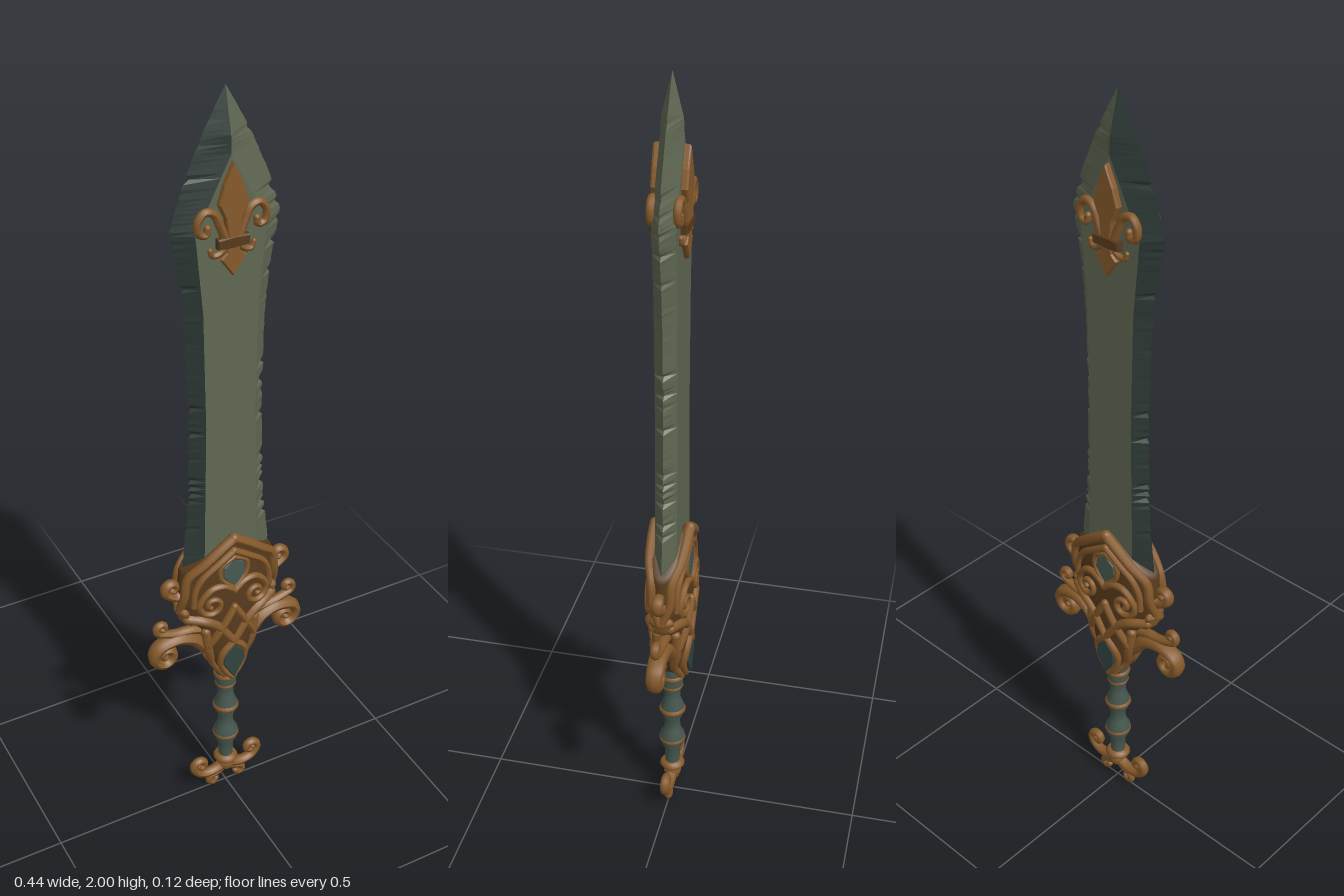
import * as THREE from 'three';

const mat = (name, color, extra = {}) => Object.assign(new THREE.MeshStandardMaterial({ color, ...extra }), { name });
const steel = mat('weathered steel', 0x5f6752);
const darkSteel = mat('tarnished steel', 0x2d3934);
const bronze = mat('aged bronze', 0x85592a);
const darkBronze = mat('recessed bronze', 0x573a1d);
const teal = mat('grip teal', 0x475850);
const gem = mat('dark inlay', 0x30433f);

const V = (x, y, z = 0) => new THREE.Vector3(x, y, z);

// Linear lookup in a table of [key, value, ...] rows
function lookup(rows, y, col = 1) {
  if (y <= rows[0][0]) return rows[0][col];
  for (let i = 1; i < rows.length; i++) {
    const a = rows[i - 1], b = rows[i];
    if (y <= b[0]) return a[col] + (b[col] - a[col]) * (y - a[0]) / (b[0] - a[0]);
  }
  return rows[rows.length - 1][col];
}

function add(parent, name, geo, material) {
  const m = new THREE.Mesh(geo, material);
  m.name = name;
  parent.add(m);
  return m;
}

// Tapered tube through points, closed with round ends
function scroll(parent, name, pts, r0, r1, depth = 1, material = bronze) {
  const curve = new THREE.CatmullRomCurve3(pts), n = pts.length * 5, sides = 8;
  const geo = new THREE.TubeGeometry(curve, n, 1, sides);
  const p = geo.attributes.position, v = new THREE.Vector3();
  for (let i = 0; i <= n; i++) {
    const c = curve.getPointAt(i / n), r = r0 + (r1 - r0) * i / n;
    for (let j = 0; j <= sides; j++) {
      const k = i * (sides + 1) + j;
      v.fromBufferAttribute(p, k).sub(c).multiplyScalar(r);
      p.setXYZ(k, c.x + v.x, c.y + v.y, c.z + v.z * depth);
    }
  }
  geo.computeVertexNormals();
  add(parent, name, geo, material);
  [[pts[0], r0], [pts[pts.length - 1], r1]].forEach(([c, r]) => {
    const end = add(parent, name + 'End', new THREE.SphereGeometry(r, 10, 8), material);
    end.position.copy(c);
    end.scale.z = depth;
  });
}

// Points of a flat spiral that winds inward
function spiral(cx, cy, r0, r1, a0, turns, n = 10) {
  return Array.from({ length: n + 1 }, (_, i) => {
    const a = a0 + turns * Math.PI * 2 * i / n, r = r0 + (r1 - r0) * i / n;
    return [cx + r * Math.cos(a), cy + r * Math.sin(a)];
  });
}

// Blade: hexagonal section with chipped edges, one bevel tarnished
const edge = [[0.7, 0.125], [0.8, 0.122], [0.95, 0.106], [1.2, 0.098], [1.45, 0.102], [1.58, 0.115],
  [1.7, 0.137], [1.8, 0.103], [1.9, 0.058], [2, 0]];
const flat = [[0.7, 0.075, 0.027], [1.2, 0.065, 0.027], [1.5, 0.07, 0.027], [1.69, 0.087, 0.027],
  [1.86, 0, 0.027], [1.9, 0, 0.025], [2, 0, 0]];
function blade(parent) {
  let seed = 7;
  const rand = () => (seed = (seed * 16807) % 2147483647) / 2147483647;
  const chip = () => (rand() < 0.25 ? rand() * 0.013 : rand() * 0.002);
  const rings = [], N = 130;
  for (let i = 0; i <= N; i++) {
    const y = 0.7 + 1.3 * i / N, w = lookup(edge, y), f = lookup(flat, y), t = lookup(flat, y, 2);
    const wl = Math.max(f, w - (y < 1.95 ? chip() : 0)), wr = Math.max(f, w - (y < 1.95 ? chip() : 0));
    rings.push([[-wl, y, 0], [-f, y, t], [f, y, t], [wr, y, 0], [f, y, -t], [-f, y, -t]]);
  }
  const faces = { light: [], dark: [] };
  for (let i = 0; i < N; i++) for (let j = 0; j < 6; j++) {
    const k = (j + 1) % 6, a = rings[i][j], b = rings[i][k], c = rings[i + 1][k], d = rings[i + 1][j];
    faces[j === 0 || j === 5 ? 'dark' : 'light'].push(...a, ...b, ...c, ...a, ...c, ...d);
  }
  for (const [key, name, m] of [['light', 'blade', steel], ['dark', 'bladeDarkBevel', darkSteel]]) {
    const g = new THREE.BufferGeometry();
    g.setAttribute('position', new THREE.Float32BufferAttribute(faces[key], 3));
    g.computeVertexNormals();
    add(parent, name, g, m);
  }
}

// Guard body: rounded loft whose top rises to a peak
const body = [[0.405, 0.012, 0.03], [0.45, 0.04, 0.04], [0.52, 0.07, 0.044], [0.59, 0.078, 0.044],
  [0.64, 0.125, 0.045], [0.7, 0.138, 0.045], [0.78, 0.13, 0.041]];
const surfZ = (x, y) => {
  const w = lookup(body, y), d = lookup(body, y, 2);
  return d * Math.pow(Math.max(0, 1 - Math.pow(Math.abs(x) / w, 2.4)), 1 / 2.4);
};
function guardBody(parent) {
  const sides = 40, pos = [], idx = [], rows = [...body, [0.79, 0.125, 0.037], [0.785, 0.08, 0.024]];
  const pw = (c) => Math.sign(c) * Math.pow(Math.abs(c), 2 / 2.4);
  rows.forEach(([y, w, d], i) => {
    const peak = Math.max(0, i - 4) / 2;
    for (let j = 0; j < sides; j++) {
      const a = j / sides * Math.PI * 2, x = w * pw(Math.cos(a));
      const lift = Math.min(1, peak) * 0.09 * (1 - Math.abs(x) / 0.13);
      pos.push(x, y + lift, d * pw(Math.sin(a)));
      if (i) {
        const k = (j + 1) % sides, lo = (i - 1) * sides, up = i * sides;
        idx.push(lo + j, up + j, up + k, lo + j, up + k, lo + k);
      }
    }
  });
  const g = new THREE.BufferGeometry();
  g.setAttribute('position', new THREE.Float32BufferAttribute(pos, 3));
  g.setIndex(idx);
  g.computeVertexNormals();
  add(parent, 'guardBody', g, darkBronze);
}

// Extruded ornament from an outline of the right half, bottom to top
function plate(parent, name, half, z0, depth, back, material) {
  const pts = [...half, ...half.slice(1, -1).reverse().map(([x, y]) => [-x, y])];
  const g = new THREE.ExtrudeGeometry(new THREE.Shape(pts.map(([x, y]) => new THREE.Vector2(x, y))),
    { depth: depth - 0.004, bevelThickness: 0.004, bevelSize: 0.003, bevelSegments: 1 });
  g.translate(0, 0, z0);
  if (back) g.rotateY(Math.PI);
  add(parent, name, g, material);
}

export function createModel() {
  const root = new THREE.Group();
  root.name = 'sword';
  blade(root);

  const guard = new THREE.Group();
  guard.name = 'guard';
  root.add(guard);
  guardBody(guard);
  const petal = new THREE.Group();
  petal.name = 'bladeEmblem';
  root.add(petal);

  for (const sz of [1, -1]) {
    const back = sz < 0;
    // Inlays of the guard
    plate(guard, 'upperInlay', [[0, 0.725], [0.03, 0.765], [0.026, 0.79], [0, 0.81]], 0.041, 0.008, back, teal);
    plate(guard, 'lowerInlay', [[0, 0.425], [0.028, 0.475], [0.026, 0.505], [0, 0.53]], 0.043, 0.008, back, gem);
    // Lily emblem on the blade
    plate(petal, 'emblemPetal', [[0, 1.655], [0.012, 1.68], [0.017, 1.72], [0.033, 1.755], [0.02, 1.795], [0, 1.84]], 0.025, 0.017, back, bronze);
    plate(petal, 'emblemTail', [[0, 1.587], [0.028, 1.627], [0.014, 1.64], [0.012, 1.665], [0, 1.67]], 0.025, 0.015, back, bronze);
    plate(petal, 'emblemBand', [[0, 1.654], [0.036, 1.656], [0.036, 1.674], [0, 1.676]], 0.027, 0.016, back, darkBronze);

    for (const sx of [1, -1]) {
      const on = (pts, off) => pts.map(([x, y]) => V(sx * x, y, sz * (surfZ(x, y) + off)));
      const raised = (name, pts, r0, r1, off = 0.003, m = bronze) => scroll(guard, name, on(pts, off), r0, r1, 1, m);
      // Peaked double trim along the top and flanks
      raised('upperTrim', [[0, 0.873], [0.04, 0.845], [0.08, 0.812], [0.118, 0.775], [0.128, 0.72], [0.134, 0.665]], 0.014, 0.011);
      raised('innerTrim', [[0, 0.835], [0.04, 0.807], [0.085, 0.77], [0.103, 0.735], [0.108, 0.69]], 0.01, 0.008);
      // Scrollwork of the faces
      raised('faceScroll', [[0, 0.715], [0.03, 0.735], [0.06, 0.735], ...spiral(0.062, 0.685, 0.036, 0.008, 0.9, -1.3)], 0.01, 0.007, 0.005);
      raised('inlayFrame', [[0, 0.72], [0.036, 0.76], [0.034, 0.795], [0, 0.815]], 0.007, 0.007);
      raised('lowerSweep', [[0.12, 0.645], [0.08, 0.635], [0.045, 0.61], [0.02, 0.575], [0, 0.545]], 0.014, 0.01);
      raised('crossScroll', [[0, 0.66], [0.02, 0.625], [0.045, 0.58], [0.062, 0.545]], 0.01, 0.011, 0.004);
      raised('gemFrame', [[0, 0.545], [0.03, 0.512], [0.034, 0.475], [0.018, 0.437], [0, 0.415]], 0.01, 0.009);
      raised('flankLeaf', [[0.07, 0.585], [0.062, 0.52], [0.045, 0.465], [0.016, 0.42]], 0.013, 0.01, 0.001);
      // Emblem side petals
      scroll(petal, 'emblemSidePetal', [[0.014, 1.665], [0.03, 1.705], [0.045, 1.735], [0.066, 1.742], [0.083, 1.722],
        [0.08, 1.695], [0.063, 1.69], [0.06, 1.706]].map(([x, y]) => V(sx * x, y, sz * 0.03)), 0.011, 0.008, 1.1);
      scroll(petal, 'emblemLowerCurl', [[0.01, 1.66], [0.03, 1.64], [0.048, 1.638], [0.054, 1.652]]
        .map(([x, y]) => V(sx * x, y, sz * 0.03)), 0.009, 0.006);
    }
  }

  // Free-standing curls on both sides of guard and pommel
  const pommel = new THREE.Group();
  pommel.name = 'pommel';
  root.add(pommel);
  for (const s of [1, -1]) {
    const side = (pts) => pts.map(([x, y]) => V(s * x, y));
    scroll(guard, 'shoulderCurl', side([[0.115, 0.72], [0.14, 0.712], ...spiral(0.152, 0.742, 0.022, 0.007, -1.2, 0.95)]), 0.014, 0.009, 1.3);
    scroll(guard, 'middleCurl', side([[0.06, 0.575], [0.1, 0.588], [0.14, 0.592], [0.17, 0.6], ...spiral(0.182, 0.624, 0.018, 0.005, -0.9, 0.9)]), 0.013, 0.008, 1.2);
    scroll(guard, 'largeCurl', side([[0.04, 0.5], [0.07, 0.53], [0.1, 0.562], [0.14, 0.576], ...spiral(0.174, 0.533, 0.038, 0.006, 1.45, -1.4, 14)]), 0.022, 0.01, 1.4);
    scroll(guard, 'sideLeaf', side([[0.125, 0.665], [0.115, 0.635], [0.08, 0.62]]), 0.016, 0.014, 2);
    scroll(pommel, 'pommelCurl', side([[0, 0.075], [0.025, 0.058], [0.055, 0.053], [0.08, 0.06], ...spiral(0.078, 0.09, 0.022, 0.006, -0.8, 1.1)]), 0.015, 0.009, 1.1);
    scroll(pommel, 'pommelFoot', side([[0.005, 0.06], [0.022, 0.045], [0.045, 0.035], [0.052, 0.02], [0.04, 0.01], [0.031, 0.02]]), 0.012, 0.009);
  }
  const knob = add(pommel, 'pommelKnob', new THREE.SphereGeometry(0.024, 16, 12), bronze);
  knob.position.y = 0.07;

  // Turned grip with bronze rings
  const lathe = (name, rows, m) => add(root, name, new THREE.LatheGeometry(rows.map(([r, y]) => new THREE.Vector2(r, y)), 20), m);
  lathe('grip', [[0.018, 0.08], [0.02, 0.12], [0.021, 0.15], [0.032, 0.175], [0.033, 0.2], [0.022, 0.22], [0.02, 0.25],
    [0.03, 0.275], [0.031, 0.3], [0.021, 0.325], [0.022, 0.35], [0.028, 0.38], [0.028, 0.43]], teal);
  for (const [y, r] of [[0.095, 0.034], [0.187, 0.036], [0.287, 0.036], [0.367, 0.029], [0.4, 0.033]]) {
    lathe('gripRing', [[0.014, y - 0.013], [r - 0.006, y - 0.009], [r, y], [r - 0.006, y + 0.009], [0.014, y + 0.013]], bronze);
  }
  return root;
}
